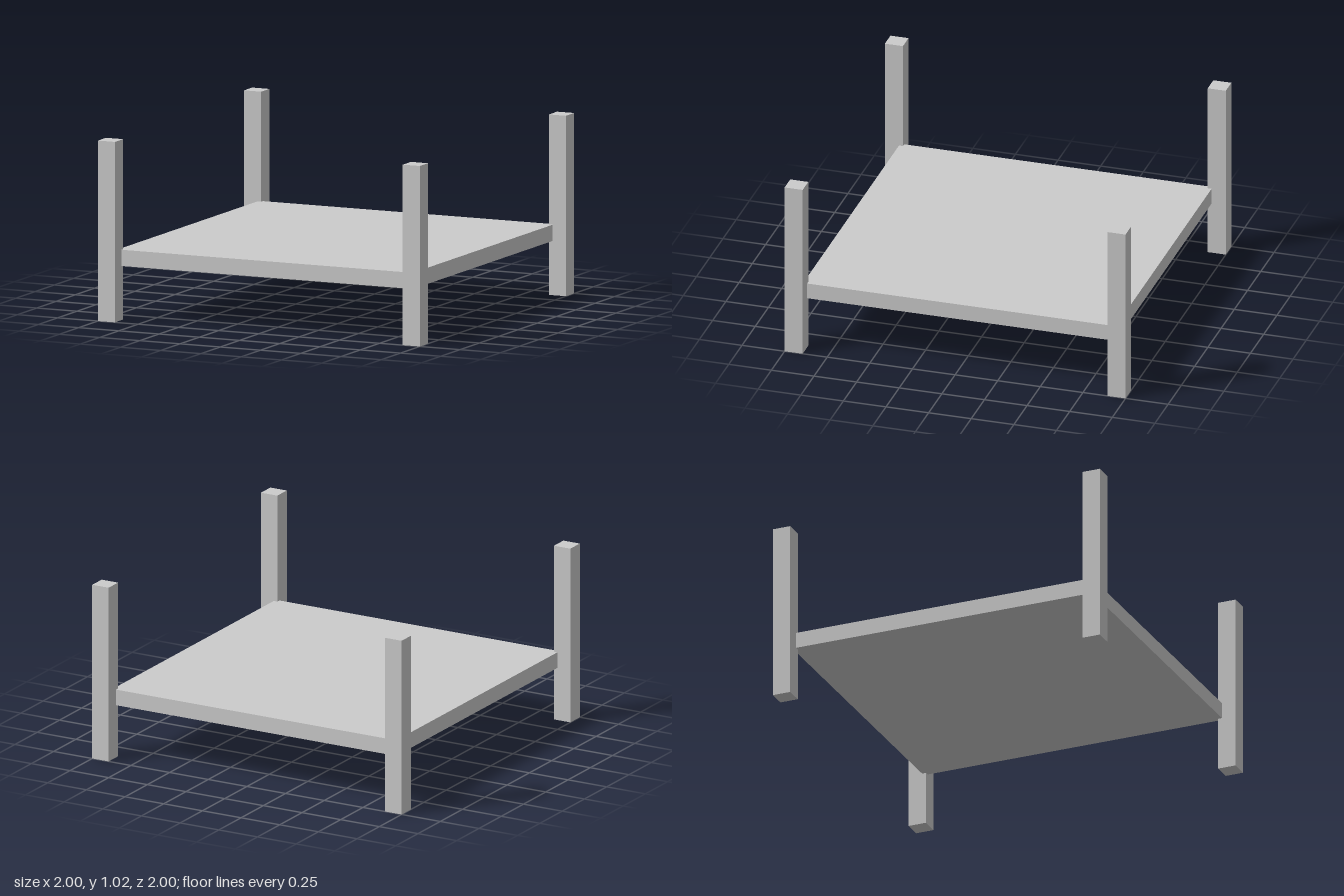
import * as THREE from 'three';

const POST_WIDTH = 0.106;
const POST_HEIGHT = 1.025;
const SLAB_SIZE = 1.834;
const SLAB_BOTTOM = 0.308;
const SLAB_TOP = 0.4;

export function createModel() {
  const model = new THREE.Group();
  model.name = 'postedPlatform';
  const material = new THREE.MeshStandardMaterial({ color: 0xcccccc, flatShading: true });

  // Box standing on y = bottom
  const addBox = (name, width, height, depth, x, bottom, z) => {
    const mesh = new THREE.Mesh(new THREE.BoxGeometry(width, height, depth), material);
    mesh.name = name;
    mesh.position.set(x, bottom + height / 2, z);
    model.add(mesh);
  };

  // Square platform slab, its corners set into the posts
  addBox('platform', SLAB_SIZE, SLAB_TOP - SLAB_BOTTOM, SLAB_SIZE, 0, SLAB_BOTTOM, 0);

  // Four corner posts
  const offset = 1 - POST_WIDTH / 2;
  for (const [zName, z] of [['front', 1], ['back', -1]]) {
    for (const [xName, x] of [['Left', 1], ['Right', -1]]) {
      addBox(`${zName}${xName}Post`, POST_WIDTH, POST_HEIGHT, POST_WIDTH, x * offset, 0, z * offset);
    }
  }

  return model;
}
